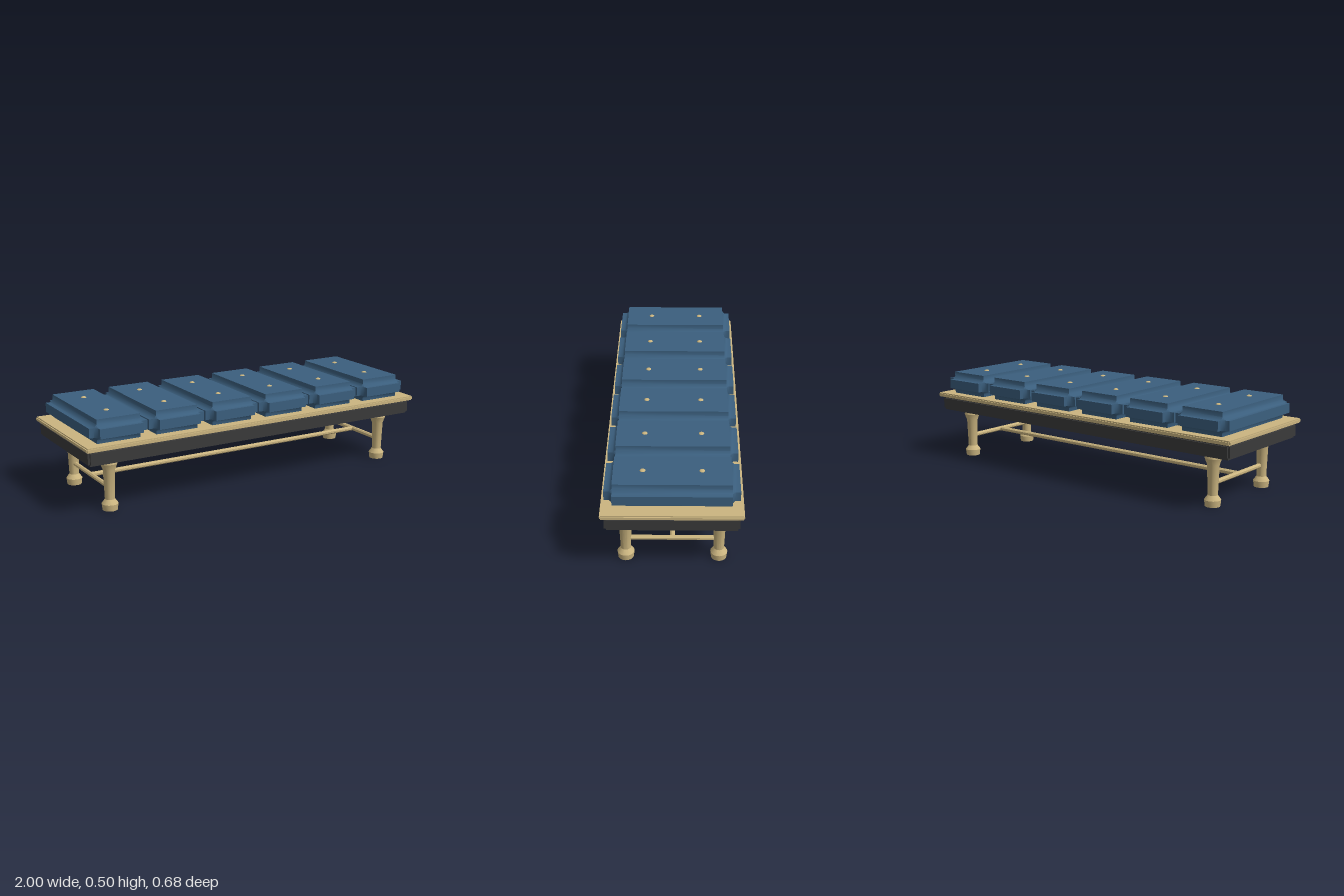
import * as THREE from 'three';
import { toCreasedNormals } from 'three/addons/utils/BufferGeometryUtils.js';

const mat = (name, color, extra = {}) => {
  const m = new THREE.MeshStandardMaterial({ color, ...extra });
  m.name = name;
  return m;
};

// Box whose edges are cut back by an inward step of size r, with a fillet f in the step's corner
function notchedBox(halfSize, r, f = 0) {
  const pos = [];
  const inner = halfSize.map((h) => h - r);
  for (let k = 0; k < 3; k++) {
    const u = (k + 1) % 3, v = (k + 2) % 3;
    const quarter = [
      [halfSize[u], inner[v]], [inner[u] + f, inner[v]],
      [inner[u], inner[v] + f], [inner[u], halfSize[v]],
    ];
    const flip = (pts, su, sv) => pts.map(([a, b]) => [a * su, b * sv]);
    const back = [...quarter].reverse();
    const loop = [...quarter, ...flip(back, -1, 1), ...flip(quarter, -1, -1), ...flip(back, 1, -1)];
    const put = ([a, b], side) => {
      const p = [0, 0, 0];
      p[k] = side * inner[k]; p[u] = a; p[v] = b;
      pos.push(...p);
    };
    loop.forEach((p, i) => {
      const q = loop[(i + 1) % loop.length];
      // each large panel is made once; empty fillets are skipped
      if (i % 8 === 3 || (f === 0 && i % 4 === 1)) return;
      put(p, -1); put(q, -1); put(q, 1);
      put(p, -1); put(q, 1); put(p, 1);
    });
  }
  // small triangle closing each corner of the fillets
  if (f > 0) for (const sx of [-1, 1]) for (const sy of [-1, 1]) for (const sz of [-1, 1]) {
    const s = [sx, sy, sz];
    const order = sx * sy * sz > 0 ? [0, 1, 2] : [0, 2, 1];
    for (const axis of order) pos.push(...inner.map((h, i) => s[i] * (h + (i === axis ? f : 0))));
  }
  const g = new THREE.BufferGeometry();
  g.setAttribute('position', new THREE.Float32BufferAttribute(pos, 3));
  return toCreasedNormals(g, 0.9);
}

export function createModel() {
  const blue = mat('blueUpholstery', 0x3b5f7e);
  const wood = mat('paleWood', 0xcbb580);
  const dark = mat('darkFrame', 0x3a3a3a);

  const model = new THREE.Group();
  model.name = 'bench';
  const add = (name, geometry, material, x, y, z) => {
    const m = new THREE.Mesh(geometry, material);
    m.name = name;
    m.position.set(x, y, z);
    model.add(m);
    return m;
  };

  // Base frame and seat board
  add('baseFrame', notchedBox([0.985, 0.0385, 0.323], 0.0105), dark, 0, 0.3055, 0);
  add('seatBoard', notchedBox([1, 0.0118, 0.342], 0.006), wood, 0, 0.3555, 0);

  // Row of six cushions, each with two buttons
  const cushion = notchedBox([0.156, 0.065, 0.324], 0.04, 0.015);
  const button = new THREE.SphereGeometry(0.0145, 14, 8);
  button.scale(1, 0.5, 1);
  for (let i = 0; i < 6; i++) {
    const x = -0.805 + i * 0.321;
    add('cushion', cushion, blue, x, 0.425, 0);
    for (const z of [-0.142, 0.142]) add('cushionButton', button, wood, x, 0.489, z);
  }

  // Turned legs
  const profile = [
    [0, 0], [0.0385, 0], [0.0425, 0.033], [0.0255, 0.057],
    [0.031, 0.21], [0.044, 0.244], [0.039, 0.27],
  ].map(([r, y]) => new THREE.Vector2(r, y));
  const leg = toCreasedNormals(new THREE.LatheGeometry(profile, 20), 0.5);
  for (const x of [-0.84, 0.84]) for (const z of [-0.23, 0.23]) add('leg', leg, wood, x, 0, z);

  // Stretchers: one across each end and a long one down the middle
  const bar = (length) => {
    const g = new THREE.CylinderGeometry(0.0125, 0.0125, length, 8);
    g.rotateY(Math.PI / 8);
    return toCreasedNormals(g, 0.5);
  };
  for (const x of [-0.84, 0.84]) add('endStretcher', bar(0.42), wood, x, 0.116, 0).rotation.x = Math.PI / 2;
  add('longStretcher', bar(1.68), wood, 0, 0.116, 0).rotation.z = Math.PI / 2;

  return model;
}
